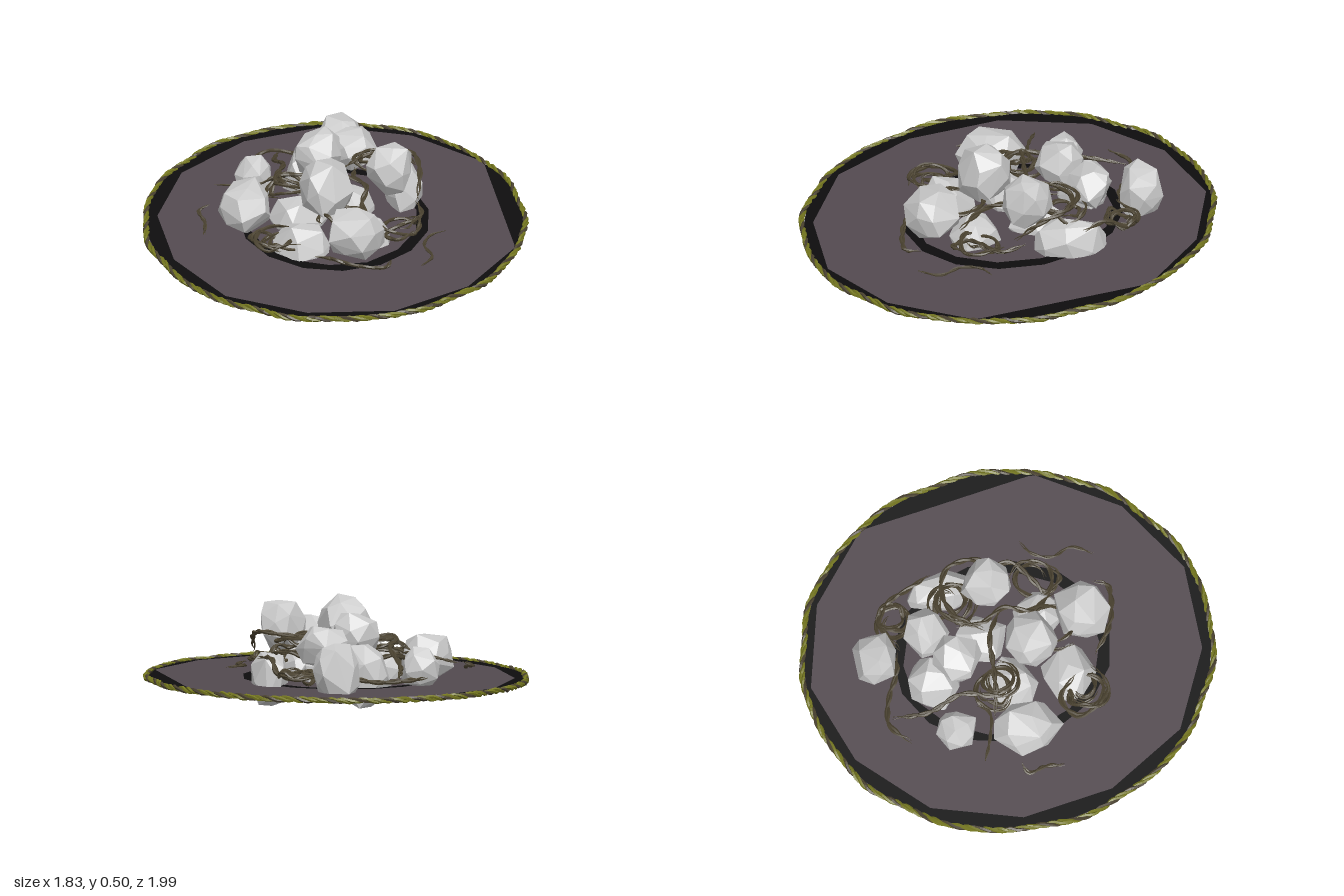
import * as THREE from 'three';
import { ConvexGeometry } from 'three/addons/geometries/ConvexGeometry.js';

let seed = 7;
const rand = () => {
  seed = (seed * 16807) % 2147483647;
  return seed / 2147483647;
};
const spread = (a) => (rand() * 2 - 1) * a;
const V = (x, y, z) => new THREE.Vector3(x, y, z);

const paint = (color, flatShading = true) =>
  new THREE.MeshStandardMaterial({ color, flatShading, side: THREE.DoubleSide });
const stoneMat = new THREE.MeshStandardMaterial({ color: 0xcccccc, flatShading: true });
const groundMat = paint(0x534a50);
const blackMat = paint(0x0e0d0e);
const vineMat = paint(0x4a4230);
const mossMat = paint(0x74761f);

function add(parent, name, geometry, material) {
  const mesh = new THREE.Mesh(geometry, material);
  mesh.name = name;
  parent.add(mesh);
  return mesh;
}

// Faceted boulder: hull of jittered points on a rounded block, fitted to a size
function stoneGeometry(sx, sy, sz) {
  const turn = new THREE.Euler(spread(0.5), spread(3), spread(0.5));
  const points = [];
  for (let i = 0; i < 22; i++) {
    const y = 1 - (2 * (i + 0.5)) / 22;
    const a = i * 2.39996 + spread(0.35);
    const r = Math.sqrt(1 - y * y);
    const p = V(r * Math.cos(a), y, r * Math.sin(a));
    const n = Math.pow(p.x ** 4 + p.y ** 4 + p.z ** 4, 0.25);
    points.push(p.multiplyScalar((0.93 + spread(0.07)) / Math.pow(n, 0.7)).applyEuler(turn));
  }
  const box = new THREE.Box3().setFromPoints(points);
  const size = box.getSize(V(0, 0, 0));
  const mid = box.getCenter(V(0, 0, 0));
  points.forEach((p) => p.sub(mid).multiply(V(sx / size.x, sy / size.y, sz / size.z)));
  return new ConvexGeometry(points);
}

// Tube whose ends narrow to points
function taperedTube(points, radius) {
  const curve = new THREE.CatmullRomCurve3(points);
  const segments = Math.min(90, points.length * 7);
  const geometry = new THREE.TubeGeometry(curve, segments, radius, 5);
  const pos = geometry.attributes.position;
  const p = V(0, 0, 0);
  for (let i = 0; i < pos.count; i++) {
    const t = Math.floor(i / 6) / segments;
    const c = curve.getPointAt(t);
    p.fromBufferAttribute(pos, i).sub(c);
    p.multiplyScalar(Math.min(1, 0.1 + 5 * Math.min(t, 1 - t))).add(c);
    pos.setXYZ(i, p.x, p.y, p.z);
  }
  geometry.computeVertexNormals();
  return geometry;
}

// Outline from radii, lying in the ground plane
function oval(rx, rz, sides, cx = 0, cz = 0, jitter = 0) {
  const points = [];
  for (let i = 0; i < sides; i++) {
    const a = (i / sides) * Math.PI * 2 + 0.1;
    const k = 1 + spread(jitter);
    points.push(new THREE.Vector2(cx + rx * k * Math.cos(a), -cz + rz * k * Math.sin(a)));
  }
  return points;
}

function flatGeometry(outer, inner) {
  const shape = new THREE.Shape(outer);
  if (inner) shape.holes.push(new THREE.Path(inner));
  return new THREE.ShapeGeometry(shape).rotateX(-Math.PI / 2);
}

function createGround() {
  const ground = new THREE.Group();
  ground.name = 'ground';
  add(ground, 'groundDisc', flatGeometry(oval(0.895, 0.975, 40)), groundMat);

  // Angular dark bands near the rim and around the stones
  const outerBand = flatGeometry(oval(0.893, 0.973, 40), oval(0.868, 0.943, 13, 0.02, -0.002, 0.012));
  add(ground, 'outerDarkBand', outerBand, blackMat).position.y = 0.003;
  const innerBand = flatGeometry(oval(0.455, 0.525, 15, 0, -0.025), oval(0.405, 0.475, 14, -0.01, -0.03, 0.012));
  add(ground, 'innerDarkBand', innerBand, blackMat).position.y = 0.003;

  // Twisted mossy rim of three strands
  for (let s = 0; s < 3; s++) {
    const path = [];
    for (let i = 0; i < 240; i++) {
      const a = (i / 240) * Math.PI * 2;
      const twist = a * 40 + (s * Math.PI * 2) / 3;
      const wobble = 0.005 * Math.sin(a * 11) + 0.004 * Math.sin(a * 17 + 1) + spread(0.002);
      const off = 0.007 * Math.cos(twist) + wobble;
      path.push(V((0.898 + off) * Math.cos(a), 0.007 * Math.sin(twist) + spread(0.003), (0.978 + off) * Math.sin(a)));
    }
    const curve = new THREE.CatmullRomCurve3(path, true);
    add(ground, 'rimStrand', new THREE.TubeGeometry(curve, 480, 0.0085, 5, true), s ? mossMat : vineMat);
  }
  ground.position.y = 0.125;
  ground.rotation.set(0.038, 0, 0.01);
  return ground;
}

function createStones() {
  const stones = new THREE.Group();
  stones.name = 'stones';
  // centre x, y, z, then size x, y, z
  const upper = [
    [-0.05, 0.36, 0.1, 0.25, 0.28, 0.25], [0.26, 0.38, -0.04, 0.22, 0.24, 0.24],
    [-0.06, 0.36, -0.26, 0.22, 0.24, 0.24], [0.12, 0.33, -0.37, 0.24, 0.2, 0.22],
    [0.07, 0.245, 0.39, 0.27, 0.25, 0.25], [-0.43, 0.22, -0.01, 0.24, 0.23, 0.34],
    [-0.36, 0.21, -0.34, 0.18, 0.22, 0.2], [0.08, 0.235, -0.62, 0.22, 0.29, 0.2],
  ];
  const lower = [
    [0.345, 0.16, -0.23, 0.18, 0.25, 0.34], [-0.09, 0.19, -0.38, 0.26, 0.3, 0.25],
    [0.14, 0.135, 0.19, 0.21, 0.24, 0.25], [0.08, 0.14, -0.1, 0.24, 0.24, 0.25],
    [-0.17, 0.135, -0.03, 0.28, 0.24, 0.26], [-0.18, 0.13, 0.26, 0.27, 0.25, 0.26],
  ];
  for (const [list, name] of [[upper, 'upperStone'], [lower, 'lowerStone']]) {
    for (const [x, y, z, sx, sy, sz] of list) {
      add(stones, name, stoneGeometry(sx, sy, sz), stoneMat).position.set(x, y, z);
    }
  }
  return stones;
}

function createVines() {
  const vines = new THREE.Group();
  vines.name = 'vines';
  // Two strands wound around one path
  const vine = (coords, radius = 0.008) => {
    const path = new THREE.CatmullRomCurve3(coords.map((c) => V(...c)));
    const count = Math.max(12, Math.round(path.getLength() * 36));
    for (const side of [1, -1]) {
      const points = path.getSpacedPoints(count).map((p, i) =>
        p.add(V(Math.cos(i * 1.1), 0.6 * Math.sin(i * 1.1), Math.sin(i * 1.1)).multiplyScalar(side * radius * 0.8)));
      add(vines, 'vine', taperedTube(points, radius), vineMat);
    }
  };
  // Loose spiral lying between the stones
  const curl = (x, y, z, r, turns, phase) => {
    const coords = [];
    for (let i = 0; i <= turns * 8; i++) {
      const a = phase + (i * Math.PI) / 4;
      const k = r * (1 - (0.45 * i) / (turns * 8)) * (1 + spread(0.15));
      coords.push([x + k * Math.cos(a), y + spread(0.025), z + k * Math.sin(a)]);
    }
    vine(coords, 0.007);
  };

  // Stray strands around the mound
  vine([[-0.63, 0.14, 0.12], [-0.62, 0.16, 0.03], [-0.64, 0.18, -0.06], [-0.59, 0.2, -0.08]], 0.006);
  vine([[0.51, 0.15, 0.19], [0.44, 0.15, 0.23], [0.4, 0.14, 0.32], [0.43, 0.13, 0.42], [0.37, 0.13, 0.52]], 0.005);
  vine([[-0.36, 0.2, -0.56], [-0.25, 0.2, -0.64], [-0.12, 0.19, -0.61], [0, 0.2, -0.54], [0.1, 0.2, -0.52]]);
  vine([[-0.22, 0.2, -0.62], [-0.25, 0.24, -0.45], [-0.22, 0.3, -0.28], [-0.27, 0.31, -0.1], [-0.18, 0.3, 0]]);
  vine([[0.1, 0.22, -0.5], [0.25, 0.22, -0.56], [0.34, 0.22, -0.5], [0.36, 0.28, -0.4], [0.41, 0.27, -0.28]]);
  vine([[-0.12, 0.14, 0.4], [-0.05, 0.16, 0.47], [0.04, 0.15, 0.52], [0.2, 0.14, 0.54], [0.23, 0.15, 0.48]]);
  vine([[-0.29, 0.18, 0.42], [-0.38, 0.2, 0.36], [-0.42, 0.18, 0.24], [-0.32, 0.2, 0.18], [-0.24, 0.24, 0.27]]);
  vine([[0.39, 0.22, 0], [0.4, 0.2, 0.12], [0.29, 0.19, 0.2], [0.22, 0.17, 0.25], [0.28, 0.18, 0.33], [0.36, 0.2, 0.28]]);
  vine([[0.05, 0.36, -0.1], [0.16, 0.36, -0.22], [0.28, 0.37, -0.25], [0.38, 0.38, -0.2], [0.41, 0.35, -0.08], [0.39, 0.25, 0.05]]);
  vine([[-0.35, 0.26, -0.15], [-0.25, 0.32, -0.12], [-0.12, 0.33, -0.1], [0.02, 0.34, -0.08], [0.14, 0.32, 0]]);
  vine([[0.12, 0.3, -0.22], [0.1, 0.31, -0.1], [0.15, 0.31, 0.02], [0.12, 0.27, 0.14], [0.2, 0.22, 0.28]]);
  vine([[-0.55, 0.22, -0.25], [-0.45, 0.24, -0.2], [-0.33, 0.26, -0.17], [-0.28, 0.27, -0.22]], 0.005);

  // Curled tangles
  curl(-0.31, 0.19, 0.31, 0.11, 1.8, 0.4);
  curl(-0.28, 0.17, 0.3, 0.09, 1.5, 2.2);
  curl(0.27, 0.22, -0.5, 0.08, 1.8, 1);
  curl(0.24, 0.2, -0.49, 0.09, 1.4, 3.5);
  curl(-0.2, 0.3, -0.09, 0.09, 2, 0);
  curl(-0.22, 0.25, -0.13, 0.1, 1.6, 2);
  curl(0.22, 0.34, -0.2, 0.11, 1.8, 1.5);
  curl(0.25, 0.29, -0.23, 0.1, 1.6, 4);
  curl(0.3, 0.2, 0.2, 0.11, 1.5, 5);
  curl(0.02, 0.27, 0.24, 0.13, 1.3, 2.6);
  return vines;
}

export function createModel() {
  seed = 7;
  const model = new THREE.Group();
  model.name = 'stonePile';
  model.add(createGround(), createStones(), createVines());
  return model;
}
